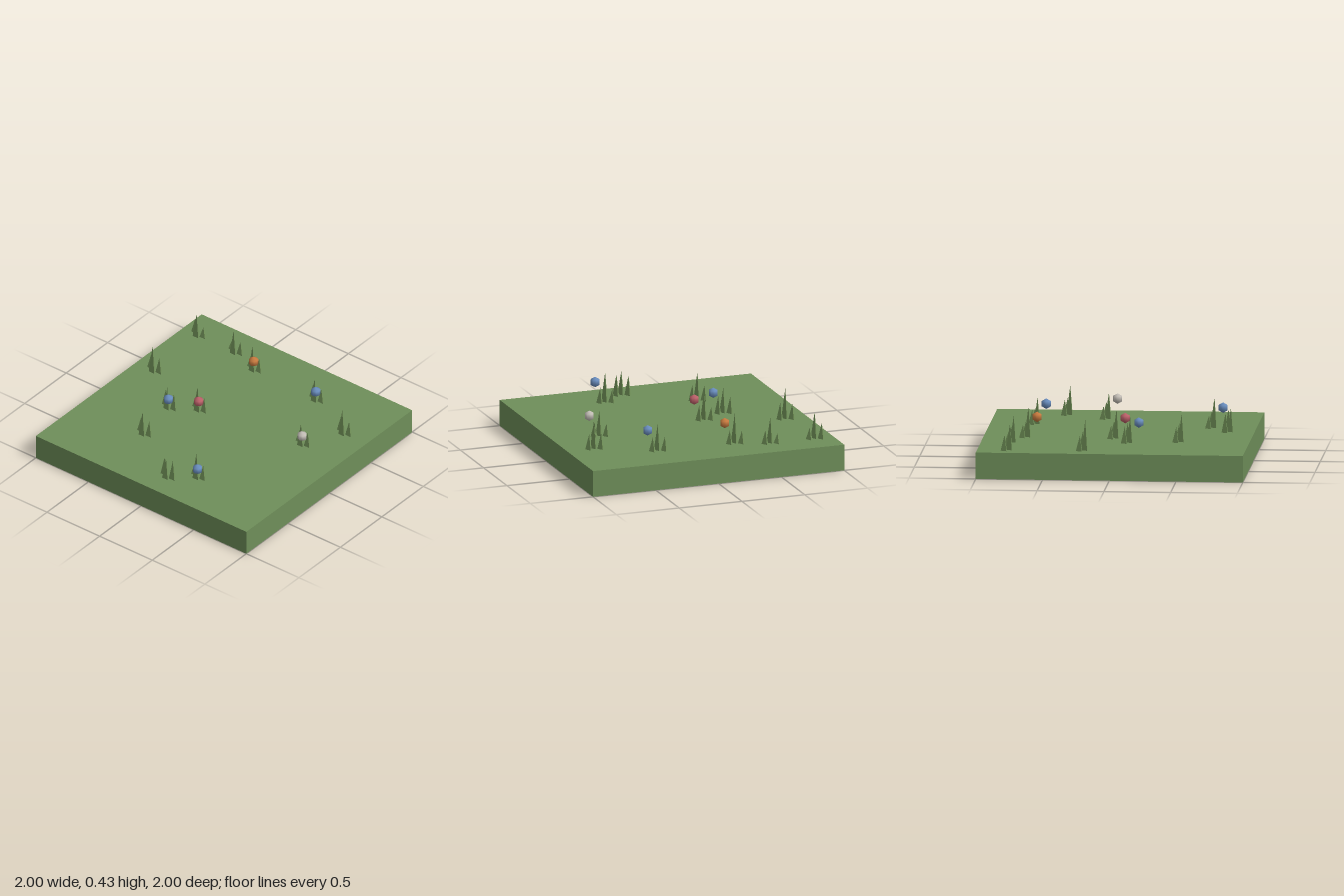
import * as THREE from 'three';

const material = (name, color, flatShading = false) => {
  const m = new THREE.MeshStandardMaterial({ color, flatShading });
  m.name = name;
  return m;
};

// Each tuft: x, z of the middle blade, heights of left, middle and right blades, flower colour
const TUFTS = [
  [-0.855, -0.755, 0.12, 0.20, 0.09],
  [-0.503, -0.755, 0.08, 0.20, 0.11],
  [-0.253, -0.665, 0.10, 0.23, 0.11, 'orange'],
  [0.353, -0.645, 0.11, 0.20, 0.11, 'blue'],
  [0.782, -0.435, 0.12, 0.22, 0.12],
  [-0.83, -0.193, 0.12, 0.23, 0.135],
  [0.627, -0.133, 0.10, 0.195, 0.12, 'white'],
  [-0.255, -0.005, 0.10, 0.22, 0.12, 'red'],
  [-0.45, 0.113, 0.13, 0.19, 0.14, 'blue'],
  [-0.385, 0.493, 0.12, 0.21, 0.13],
  [0.278, 0.685, 0.10, 0.23, 0.12, 'blue'],
  [0.098, 0.823, 0.15, 0.18, 0.165],
];
const BLADE_OFFSETS = [[-0.043, -0.037], [0, 0], [0.047, -0.022]];
const GROUND_TOP = 0.2;

export function createModel() {
  const model = new THREE.Group();
  model.name = 'meadowTile';

  const groundMaterial = material('groundGreen', 0x6f8f5a);
  const bladeMaterial = material('grassGreen', 0x789a5e, true);
  const petals = {
    blue: material('flowerBlue', 0x6b8fc0),
    red: material('flowerRed', 0xbf626b),
    orange: material('flowerOrange', 0xcb7c40),
    white: material('flowerWhite', 0xc6c1b9),
  };

  // Square slab of turf
  const ground = new THREE.Mesh(new THREE.BoxGeometry(2, GROUND_TOP, 2), groundMaterial);
  ground.name = 'ground';
  ground.position.y = GROUND_TOP / 2;
  model.add(ground);

  // Three-sided blade standing on its base, flat side to the front
  const bladeGeometry = new THREE.ConeGeometry(0.03, 1, 3).rotateY(Math.PI).translate(0, 0.5, 0);
  const flowerGeometry = new THREE.SphereGeometry(0.04, 8, 3);

  for (const [x, z, left, middle, right, flowerColour] of TUFTS) {
    const tuft = new THREE.Group();
    tuft.name = 'grassTuft';
    tuft.position.set(x, GROUND_TOP, z);
    [left, middle, right].forEach((height, i) => {
      const blade = new THREE.Mesh(bladeGeometry, bladeMaterial);
      blade.name = 'grassBlade';
      blade.position.set(BLADE_OFFSETS[i][0], 0, BLADE_OFFSETS[i][1]);
      blade.scale.y = height;
      tuft.add(blade);
    });

    // Round flower head hovering at the front corner of the tuft
    if (flowerColour) {
      const flower = new THREE.Mesh(flowerGeometry, petals[flowerColour]);
      flower.name = 'flowerHead';
      flower.position.set(0.058, 0.142, 0.06);
      tuft.add(flower);
    }
    model.add(tuft);
  }
  return model;
}
